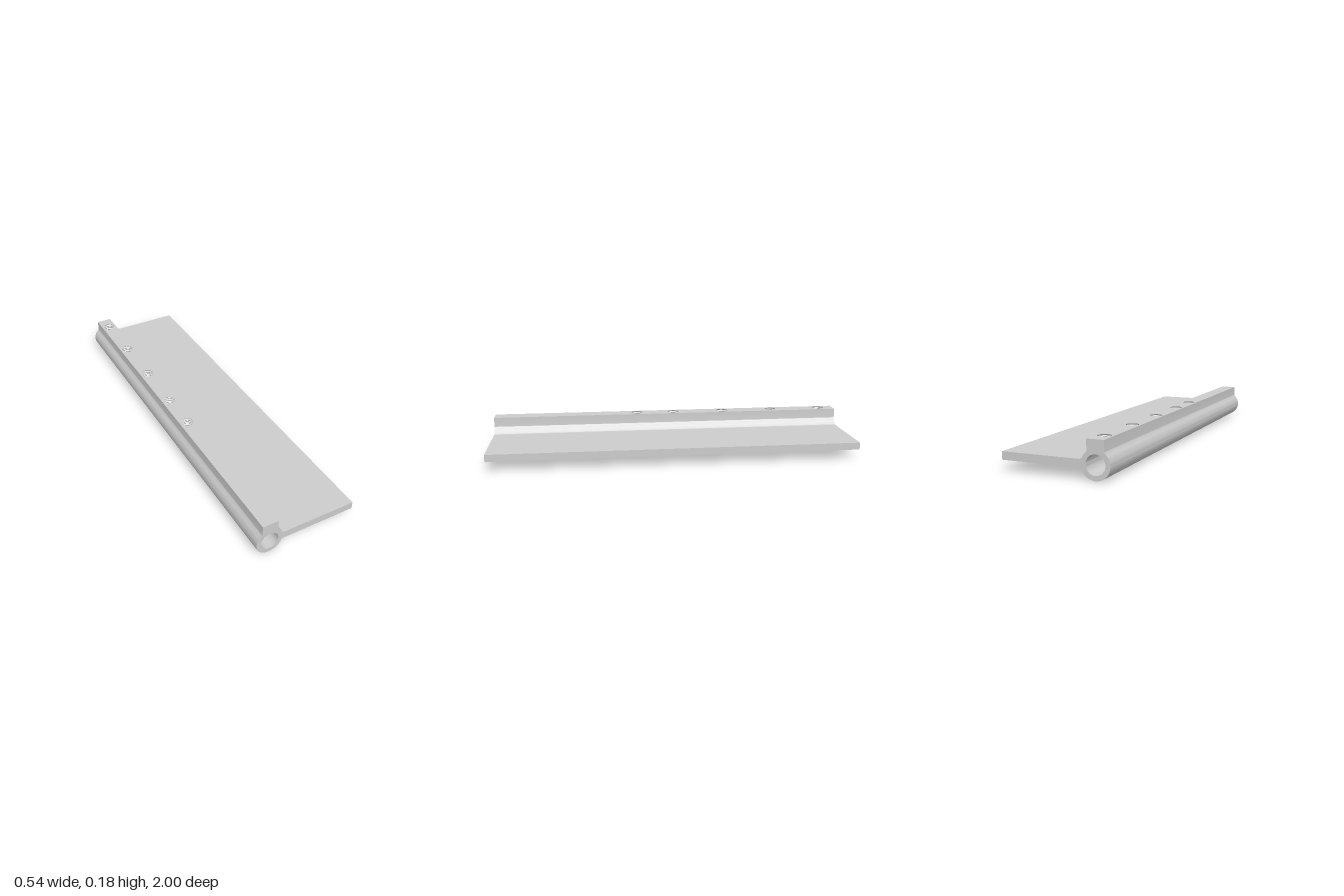
import * as THREE from 'three';
import { toCreasedNormals } from 'three/addons/utils/BufferGeometryUtils.js';

const CX = -0.2, CY = 0.07;          // tube axis
const R = 0.07, BORE = 0.047;        // tube radii
const RAIL = 0.042, TOP = 0.112;     // rail half width and top, from the axis
const CORE = 0.038;                  // half width of the drilled middle strip
const HOLE = 0.032, HOLES = [-0.91, -0.615, -0.32, -0.03, 0.185];
const rad = THREE.MathUtils.degToRad;
const boreY = x => Math.sqrt(Math.max(0, BORE * BORE - x * x));

const solid = new THREE.MeshStandardMaterial({ color: 0xcccccc });
const open = new THREE.MeshStandardMaterial({ color: 0xcccccc, side: THREE.DoubleSide });

function add(parent, name, geometry, material = solid) {
  const mesh = new THREE.Mesh(geometry, material);
  mesh.name = name;
  parent.add(mesh);
  return mesh;
}

// moves every vertex by a rule, then refreshes the normals
function reshape(geometry, rule) {
  const p = geometry.attributes.position;
  const v = new THREE.Vector3();
  for (let i = 0; i < p.count; i++) {
    rule(v.fromBufferAttribute(p, i));
    p.setXYZ(i, v.x, v.y, v.z);
  }
  geometry.computeVertexNormals();
  return geometry;
}

// tube with rail cheeks and plate fillets; the middle of the rail is left open
function bodyGeometry() {
  const s = new THREE.Shape();
  const theta = Math.acos(CORE / BORE);
  s.moveTo(CORE, TOP);
  s.lineTo(RAIL, TOP);
  s.lineTo(RAIL, 0.064);
  s.quadraticCurveTo(RAIL, 0.056, R * Math.cos(rad(49)), R * Math.sin(rad(49)));
  s.absarc(0, 0, R, rad(49), rad(26), true);
  s.quadraticCurveTo(0.067, 0.021, 0.078, 0.021);
  s.lineTo(0.078, -0.018);
  s.quadraticCurveTo(0.067, -0.018, R * Math.cos(rad(-23)), R * Math.sin(rad(-23)));
  s.absarc(0, 0, R, rad(-23), rad(-229), true);
  s.quadraticCurveTo(-RAIL, 0.056, -RAIL, 0.064);
  s.lineTo(-RAIL, TOP);
  s.lineTo(-CORE, TOP);
  s.lineTo(-CORE, boreY(CORE));
  s.absarc(0, 0, BORE, Math.PI - theta, 2 * Math.PI + theta, false);
  const g = new THREE.ExtrudeGeometry(s, { depth: 2, bevelEnabled: false, curveSegments: 32 });
  return toCreasedNormals(g.translate(0, 0, -1), 0.5);
}

// top strip of the rail, pierced by the holes
function topGeometry() {
  const s = new THREE.Shape();
  s.moveTo(-CORE, -1);
  s.lineTo(CORE, -1);
  s.lineTo(CORE, 1);
  s.lineTo(-CORE, 1);
  for (const z of HOLES) s.holes.push(new THREE.Path().absarc(0, -z, HOLE, 0, 2 * Math.PI, true));
  return new THREE.ShapeGeometry(s, 32).rotateX(-Math.PI / 2).translate(0, TOP, 0);
}

// end face of the middle strip, arched over the bore
function endGeometry() {
  const s = new THREE.Shape();
  const theta = Math.acos(CORE / BORE);
  s.moveTo(CORE, TOP);
  s.lineTo(-CORE, TOP);
  s.absarc(0, 0, BORE, Math.PI - theta, theta, true);
  return new THREE.ShapeGeometry(s, 24);
}

// threaded wall whose lower rim follows the bore
function threadGeometry() {
  const points = [new THREE.Vector2(HOLE, 0.03)];
  const turns = 7, pitch = (TOP - 0.03) / turns;
  for (let i = 0; i < turns; i++) {
    const y = 0.03 + i * pitch;
    points.push(new THREE.Vector2(HOLE + 0.0045, y + pitch * 0.5), new THREE.Vector2(HOLE, y + pitch));
  }
  const g = new THREE.LatheGeometry(points, 64);
  reshape(g, v => { v.y = Math.max(v.y, boreY(v.x)); });
  return toCreasedNormals(g, 0.5);
}

// square piece of bore roof around a hole
function roofAroundHole() {
  return reshape(new THREE.PlaneGeometry(1, 1, 64, 4), v => {
    const a = (v.x + 0.5) * 2 * Math.PI, t = v.y + 0.5;
    const c = Math.cos(a), s = Math.sin(a);
    const edge = CORE / Math.max(Math.abs(c), Math.abs(s));
    const r = THREE.MathUtils.lerp(HOLE, edge, t);
    v.set(r * c, boreY(r * c), r * s);
  });
}

// plain piece of bore roof between two z positions
function roofBetween(z0, z1) {
  return reshape(new THREE.PlaneGeometry(2 * CORE, 1, 24, 1), v => {
    v.set(v.x, boreY(v.x), THREE.MathUtils.lerp(z0, z1, v.y + 0.5));
  });
}

export function createModel() {
  const model = new THREE.Group();
  model.name = 'hingeLeaf';

  const barrel = new THREE.Group();
  barrel.name = 'barrel';
  barrel.position.set(CX, CY, 0);
  model.add(barrel);

  add(barrel, 'tubeAndRail', bodyGeometry());
  add(barrel, 'railTop', topGeometry(), open);
  for (const z of [-1, 1]) add(barrel, 'railEnd', endGeometry(), open).position.z = z;

  // screw holes and the bore roof between them
  let from = -1;
  for (const z of HOLES) {
    add(barrel, 'threadedHole', threadGeometry(), open).position.z = z;
    add(barrel, 'boreRoof', roofAroundHole(), open).position.z = z;
    add(barrel, 'boreRoof', roofBetween(from, z - CORE), open);
    from = z + CORE;
  }
  add(barrel, 'boreRoof', roofBetween(from, 1), open);

  // flat leaf
  const x0 = CX + 0.078, x1 = 0.268;
  add(model, 'plate', new THREE.BoxGeometry(x1 - x0, 0.039, 2))
    .position.set((x0 + x1) / 2, CY + 0.0015, 0);

  return model;
}
